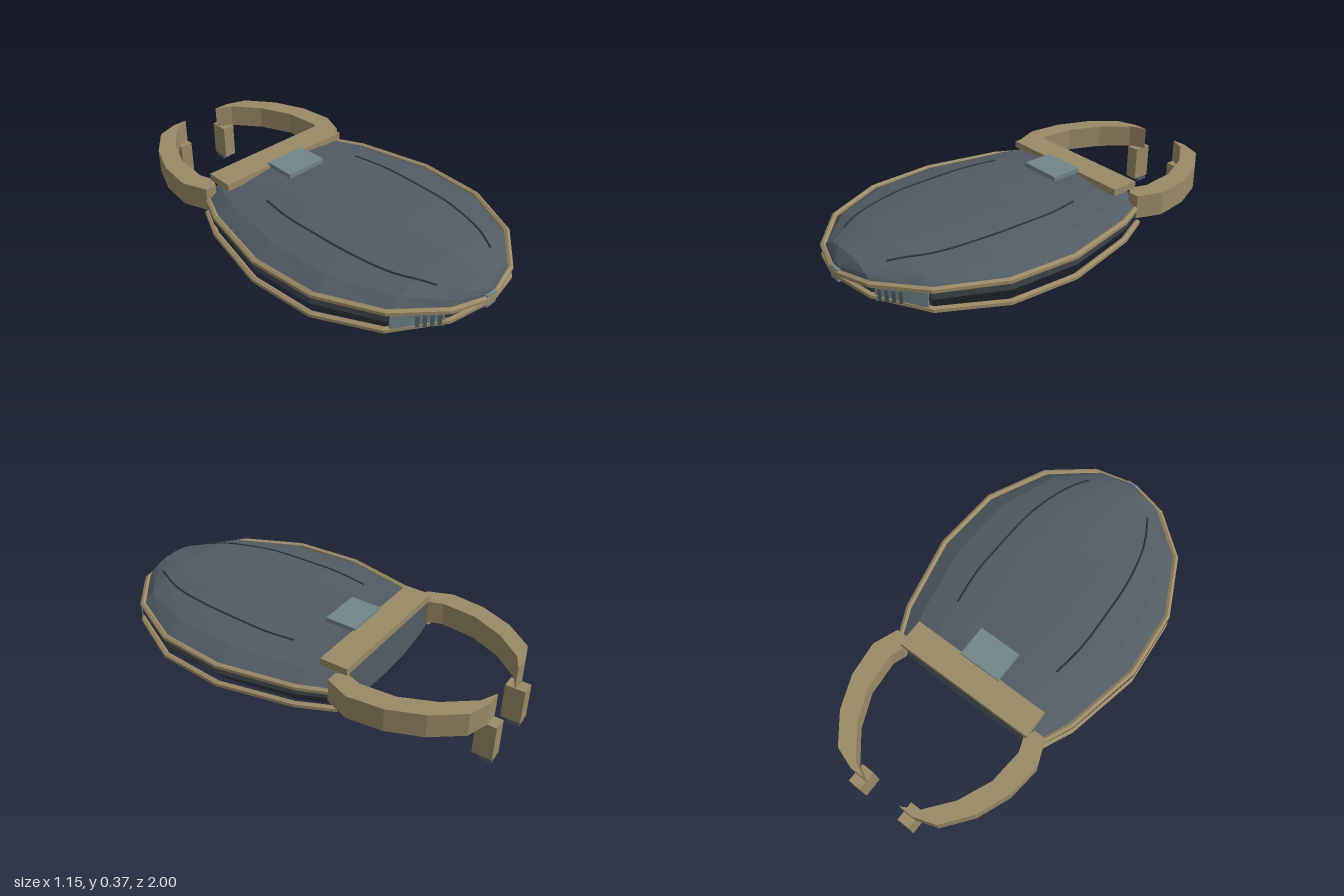
import * as THREE from 'three';

const mat = (name, color, extra = {}) => {
  const m = new THREE.MeshStandardMaterial({ color, flatShading: true, ...extra });
  m.name = name;
  return m;
};

// Hull stations from back to nose: z, half width, top, bottom, upper rail y, lower rail y
const stations = [
  [-0.37, 0.41, 0.335, 0.1, 0.245, 0.16],
  [-0.2, 0.49, 0.34, 0.098, 0.25, 0.16],
  [0.17, 0.57, 0.349, 0.096, 0.253, 0.156],
  [0.5, 0.545, 0.352, 0.106, 0.257, 0.158],
  [0.78, 0.405, 0.343, 0.13, 0.259, 0.17],
  [0.94, 0.2, 0.318, 0.165, 0.254, 0.205],
  [0.985, 0.03, 0.275, 0.19, 0.243, 0.23],
];
const RIM = 0.25, MID = 0.22, KEEL = 0.165;
const topProfile = [[0.97, 0], [0.8, 0.5], [0.55, 0.8], [0.3, 0.95], [0, 1]];
const bottomProfile = [[0.92, 0], [0.76, 0.45], [0.4, 0.88], [0, 1]];

// Skin between rings of equal length, anticlockwise seen from the far end
function loft(rings, closed = false) {
  const n = rings[0].length, index = [];
  for (let i = 0; i < rings.length - 1; i++) {
    for (let j = 0; j < (closed ? n : n - 1); j++) {
      const k = (j + 1) % n, a = i * n + j, b = i * n + k, c = b + n, d = a + n;
      index.push(a, b, c, a, c, d);
    }
  }
  const g = new THREE.BufferGeometry();
  g.setAttribute('position', new THREE.Float32BufferAttribute(rings.flat(2), 3));
  g.setIndex(index);
  g.computeVertexNormals();
  return g;
}

const mirrorArc = (half) => [...half, ...half.slice(0, -1).reverse().map(([x, y, z]) => [-x, y, z])];

const upperRing = ([z, w, t]) => mirrorArc(topProfile.map(([r, f]) => [r * w, RIM + (t - RIM) * f, z]));
const lowerRing = ([z, w, , b]) => {
  const keel = Math.max(KEEL, b + 0.005);
  const half = [[0.97 * w, RIM, z], [w, MID, z],
    ...bottomProfile.map(([r, f]) => [r * w, keel + (b - keel) * f, z])];
  return mirrorArc(half).reverse();
};

const lerpTable = (table, v) => {
  let i = 0;
  while (i < table.length - 2 && v > table[i + 1][0]) i++;
  const [a, b] = [table[i], table[i + 1]], k = (v - a[0]) / (b[0] - a[0]);
  return a.map((q, n) => q + (b[n] - q) * k);
};
// Height of the upper shell at a given x and z
const shellY = (x, z) => {
  const [, w, t] = lerpTable(stations, z);
  return RIM + (t - RIM) * lerpTable([...topProfile].reverse(), Math.abs(x) / w)[1];
};

// Faceted rail running along one side, round the nose and back
function railGeometry(column, scale) {
  const half = stations.map((s) => new THREE.Vector3(s[1] * scale, s[column], s[0] + (s[0] > 0.9 ? 0.004 : 0)));
  const path = [...half, ...half.slice().reverse().map((p) => new THREE.Vector3(-p.x, p.y, p.z))];
  const up = new THREE.Vector3(0, 1, 0);
  const rings = path.map((p, i) => {
    const tangent = path[Math.min(i + 1, path.length - 1)].clone().sub(path[Math.max(i - 1, 0)]).setY(0).normalize();
    const out = up.clone().cross(tangent);
    return Array.from({ length: 6 }, (_, j) => {
      const a = (j + 0.5) * Math.PI / 3;
      return p.clone().addScaledVector(out, Math.cos(a) * 0.015).addScaledVector(up, Math.sin(a) * 0.015).toArray();
    });
  });
  const first = rings[0].map(() => path[0].toArray());
  const last = rings[0].map(() => path[path.length - 1].toArray());
  return loft([first, ...rings, last], true);
}

export function createModel() {
  const slate = mat('slate', 0x515b64);
  const dark = mat('dark underside', 0x33393e);
  const tan = mat('tan', 0x9a8a66);
  const blue = mat('blue grey', 0x70858a);
  const groove = mat('groove', 0x2b3237);

  const model = new THREE.Group();
  model.name = 'model';
  const add = (name, geometry, material, x = 0, y = 0, z = 0, parent = model) => {
    const m = new THREE.Mesh(geometry, material);
    m.name = name;
    m.position.set(x, y, z);
    parent.add(m);
    return m;
  };
  // Box from minimum and maximum corners
  const box = (name, material, [x0, y0, z0], [x1, y1, z1]) =>
    add(name, new THREE.BoxGeometry(Math.abs(x1 - x0), y1 - y0, z1 - z0), material,
      (x0 + x1) / 2, (y0 + y1) / 2, (z0 + z1) / 2);

  // Hull: upper shell, lower shell and end caps
  add('upperShell', loft(stations.map(upperRing)), slate);
  add('lowerShell', loft(stations.map(lowerRing)), dark);
  const fullRing = (s) => [...upperRing(s), ...lowerRing(s).slice(1, -1)];
  const back = fullRing(stations[0]), nose = fullRing(stations[stations.length - 1]);
  add('backWall', loft([back.map(() => [0, MID, -0.37]), back], true), slate);
  add('noseCap', loft([nose, nose.map(() => [0, MID, 0.99])], true), slate);

  // Rim rails
  add('upperRail', railGeometry(4, 0.975), tan);
  add('lowerRail', railGeometry(5, 0.985), tan);

  // Nose clasp
  box('noseClasp', blue, [-0.03, 0.203, 0.96], [0.03, 0.262, 1]);

  // Crossbar and top plate
  box('crossbar', tan, [-0.36, 0.318, -0.387], [0.36, 0.352, -0.25]);
  box('topPlate', blue, [-0.107, 0.343, -0.26], [0.107, 0.365, -0.105]);

  const armOutline = [
    [0.425, -0.335], [0.472, -0.455], [0.452, -0.625], [0.386, -0.785], [0.28, -0.92], [0.175, -0.955],
    [0.1, -0.955], [0.18, -0.915], [0.285, -0.785], [0.355, -0.625], [0.37, -0.455], [0.345, -0.385], [0.37, -0.335],
  ];
  for (const [side, s] of [['left', 1], ['right', -1]]) {
    // Curved rear arm with a leg and foot pad
    const shape = new THREE.Shape(armOutline.map(([x, z]) => new THREE.Vector2(s * x, z)));
    const arm = new THREE.ExtrudeGeometry(shape, { depth: 0.115, bevelEnabled: false });
    add(side + 'Arm', arm.rotateX(Math.PI / 2), tan, 0, 0.316, 0);
    box(side + 'Leg', tan, [s * 0.11, 0.025, -1], [s * 0.175, 0.203, -0.905]);
    box(side + 'FootPad', slate, [s * 0.115, 0, -0.995], [s * 0.168, 0.026, -0.935]);

    // Front side panel with slats
    const panel = new THREE.Group();
    panel.name = side + 'FrontPanel';
    panel.position.set(s * 0.298, 0.218, 0.86);
    panel.rotation.y = s * 0.663;
    model.add(panel);
    add('panelBase', new THREE.BoxGeometry(0.22, 0.066, 0.022), blue, 0, 0, 0, panel);
    for (let i = 0; i < 4; i++) {
      add('slat', new THREE.BoxGeometry(0.016, 0.056, 0.009), slate, s * (-0.09 + i * 0.03), 0, 0.013, panel);
    }

    // Shallow seam following the top of the shell
    const seam = [[0.287, -0.06], [0.308, 0.1], [0.308, 0.25], [0.295, 0.5], [0.25, 0.7], [0.175, 0.85]];
    const dense = new THREE.SplineCurve(seam.map(([x, z]) => new THREE.Vector2(x, z))).getPoints(24);
    const curve = new THREE.CatmullRomCurve3(
      dense.map((p) => new THREE.Vector3(s * p.x, shellY(p.x, p.y) + 0.001, p.y)));
    add(side + 'Seam', new THREE.TubeGeometry(curve, 32, 0.005, 5), groove);
  }
  return model;
}
